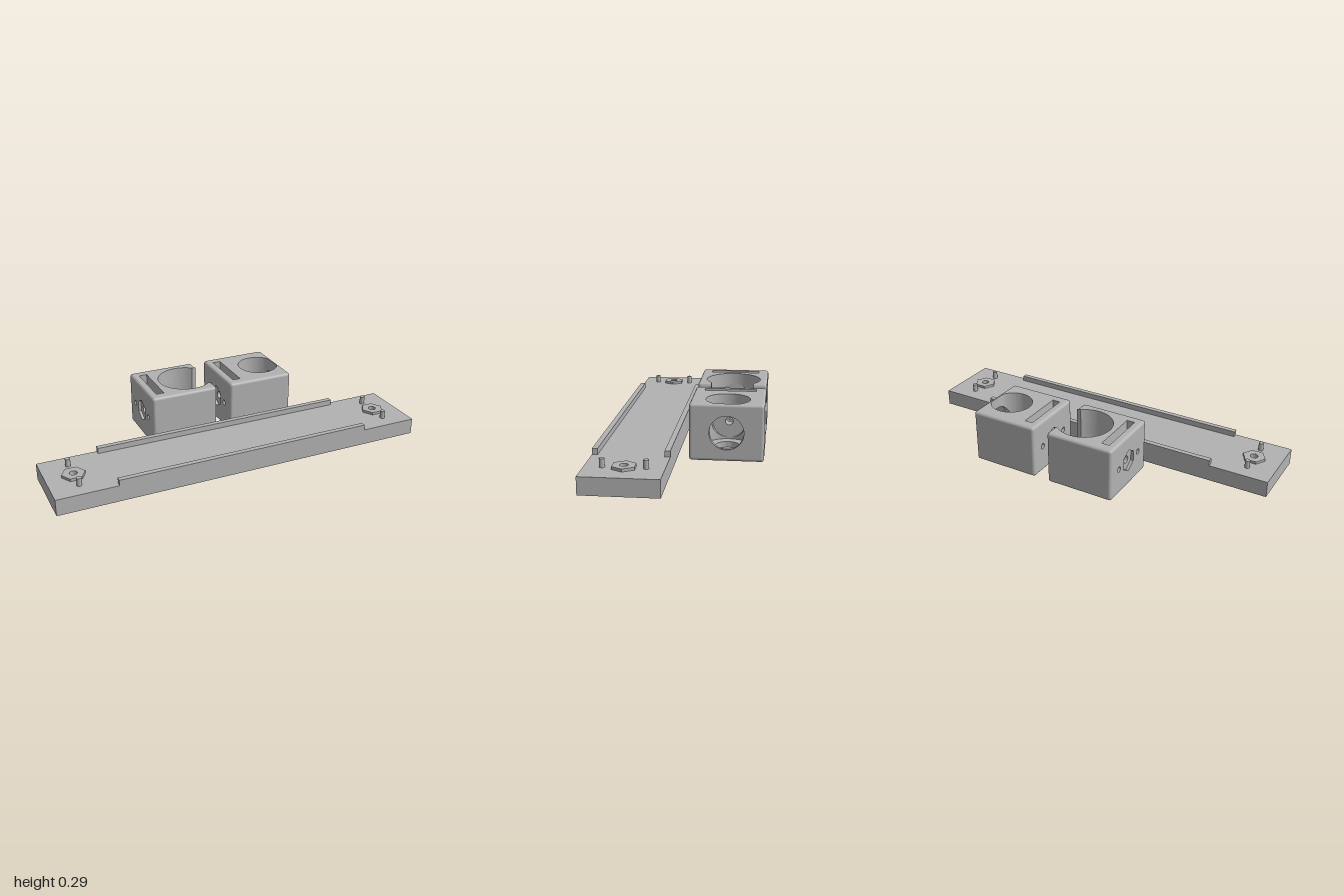
import * as THREE from 'three';
import { toCreasedNormals } from 'three/addons/utils/BufferGeometryUtils.js';
import { RoundedBoxGeometry } from 'three/addons/geometries/RoundedBoxGeometry.js';

const grey = new THREE.MeshStandardMaterial({ color: 0xb2b2b2, side: THREE.DoubleSide });
grey.name = 'plain grey';

// shared block sizes
const HALF = 0.184, H = 0.287, CY = H / 2, EDGE = 0.015, FLAT = HALF - EDGE;
const SHAFT = 0.085, SCREW = 0.02, JAW = 0.112, SLOT = [-0.145, -0.102], SLOT_Z = 0.132;

function add(group, name, geometry, x = 0, y = 0, z = 0) {
  const mesh = new THREE.Mesh(geometry, grey);
  mesh.name = name;
  mesh.position.set(x, y, z);
  group.add(mesh);
  return mesh;
}

// regular polygon or circle as [u, v] points
const ring = (r, n = 48, u = 0, v = 0, turn = 0) =>
  Array.from({ length: n }, (_, i) => {
    const t = (i / n) * Math.PI * 2 + turn;
    return [u + r * Math.sin(t), v + r * Math.cos(t)];
  });
const rect = (u0, u1, v0, v1) => [[u0, v0], [u1, v0], [u1, v1], [u0, v1]];

function makeShape(outline, holes = []) {
  const vec = (pts) => pts.map(([u, v]) => new THREE.Vector2(u, v));
  const shape = new THREE.Shape(vec(outline));
  holes.forEach((h) => shape.holes.push(new THREE.Path(vec(h))));
  return shape;
}

// flat face, placed in space by map(u, v)
function face(map, outline, holes) {
  const g = new THREE.ShapeGeometry(makeShape(outline, holes));
  const p = g.attributes.position;
  for (let i = 0; i < p.count; i++) p.setXYZ(i, ...map(p.getX(i), p.getY(i)));
  g.computeVertexNormals();
  return g;
}
const atX = (x) => (u, v) => [x, v, u];
const atY = (y) => (u, v) => [u, y, v];
const atZ = (z) => (u, v) => [u, v, z];

// surface between two rows of points
function loft(a, b, closed = true) {
  const pos = [];
  for (let i = 0; i < a.length - (closed ? 0 : 1); i++) {
    const j = (i + 1) % a.length;
    pos.push(...a[i], ...b[i], ...b[j], ...a[i], ...b[j], ...a[j]);
  }
  const g = new THREE.BufferGeometry();
  g.setAttribute('position', new THREE.Float32BufferAttribute(pos, 3));
  return toCreasedNormals(g, 0.6);
}
const tube = (pts, mapA, mapB) =>
  loft(pts.map((p) => mapA(...p)), pts.map((p) => mapB(...p)));

// rounded edges of the block, without its flat faces
function roundedEdges(open) {
  const g = new RoundedBoxGeometry(2 * HALF, H, 2 * HALF, 3, EDGE);
  const p = g.attributes.position, n = g.attributes.normal, pos = [], nor = [];
  for (let i = 0; i < p.count; i += 3) {
    const k = [i, i + 1, i + 2];
    const flat = k.every((j) => Math.max(Math.abs(n.getX(j)), Math.abs(n.getY(j)), Math.abs(n.getZ(j))) > 0.999);
    const same = flat && k.every((j) => n.getX(j) * n.getX(i) + n.getY(j) * n.getY(i) + n.getZ(j) * n.getZ(i) > 0.9);
    const jawEdge = open && k.every((j) => Math.abs(n.getZ(j)) < 0.01) && k.some((j) => n.getX(j) > 0.01);
    if (same || jawEdge) continue;
    k.forEach((j) => {
      pos.push(p.getX(j), p.getY(j) + CY, p.getZ(j));
      nor.push(n.getX(j), n.getY(j), n.getZ(j));
    });
  }
  const out = new THREE.BufferGeometry();
  out.setAttribute('position', new THREE.Float32BufferAttribute(pos, 3));
  out.setAttribute('normal', new THREE.Float32BufferAttribute(nor, 3));
  return out;
}

// clamp block: open = C-shaped through bore, otherwise a blind pocket
function makeBlock(name, open, c, R, floorY) {
  const block = new THREE.Group();
  block.name = name;
  const put = (part, g) => add(block, part, g);

  // bore outline as [x, z], with points that line up with the cross shaft
  const a = Math.asin(SHAFT / R), q = [];
  for (let i = 0; i <= 12; i++) q.push(Math.asin((SHAFT / R) * Math.sin((i / 12) * Math.PI / 2)));
  for (let i = 1; i <= 8; i++) q.push(a + (i / 8) * (Math.PI / 2 - a));
  const back = q.slice(0, -1).reverse();
  let angles = [...q, ...back.map((t) => Math.PI - t), ...q.slice(1).map((t) => Math.PI + t),
    ...back.slice(0, -1).map((t) => 2 * Math.PI - t)];
  if (open) {
    const j = Math.asin(JAW / R);
    angles = [j, ...angles.filter((t) => t > j + 0.01 && t < 2 * Math.PI - j - 0.01), 2 * Math.PI - j];
  }
  let bore = angles.map((t) => [Math.min(c + R * Math.cos(t), FLAT - 0.001), R * Math.sin(t)]);
  const arc = bore;
  if (open) bore = [[HALF, JAW], ...bore, [HALF, -JAW]];

  // bore wall above and below the cross shaft
  const gap = (z) => Math.sqrt(Math.max(0, SHAFT * SHAFT - z * z));
  const row = (f) => bore.map(([x, z]) => [x, f(z), z]);
  put('boreWallLower', loft(row(() => floorY), row((z) => CY - gap(z)), !open));
  put('boreWallUpper', loft(row((z) => CY + gap(z)), row(() => H), !open));

  // top and bottom faces
  const slot = rect(...SLOT, -SLOT_Z, SLOT_Z);
  const square = rect(-FLAT, FLAT, -FLAT, FLAT);
  if (open) {
    const cOutline = [[-FLAT, -FLAT], [FLAT, -FLAT], [FLAT, -JAW], ...arc.slice().reverse(),
      [FLAT, JAW], [FLAT, FLAT], [-FLAT, FLAT]];
    put('topFace', face(atY(H), cOutline, [slot]));
    put('bottomFace', face(atY(0), cOutline, [slot]));
  } else {
    put('topFace', face(atY(H), square, [slot, bore]));
    put('bottomFace', face(atY(0), square, [slot]));
    // pocket floor with a smaller round recess
    const recess = ring(0.06, 48, c, 0);
    put('pocketFloor', face(atY(floorY), bore, [recess]));
    put('recessWall', tube(recess, atY(floorY), atY(0.02)));
    put('recessFloor', face(atY(0.02), recess));
  }

  // front and back faces
  const side = rect(-FLAT, FLAT, EDGE, H - EDGE);
  for (const s of [1, -1]) put(s > 0 ? 'frontFace' : 'backFace', face(atZ(s * HALF), side));

  // mounting face with hexagonal socket, screw hole and peg holes
  const screw = ring(SCREW, 24, 0, CY), hex = ring(0.06, 6, 0, CY);
  const pegs = [-0.1, 0.1].map((z) => ring(0.015, 20, z, CY));
  put('mountingFace', face(atX(-HALF), side, [hex, ...pegs]));
  put('socketWall', tube(hex, atX(-HALF), atX(-FLAT)));
  put('socketFloor', face(atX(-FLAT), hex, [screw]));
  pegs.forEach((p) => {
    put('pegHoleWall', tube(p, atX(-HALF), atX(-0.15)));
    put('pegHoleEnd', face(atX(-0.15), p));
  });

  // strap slot and screw hole
  const slotSide = rect(-SLOT_Z, SLOT_Z, 0, H);
  SLOT.forEach((x) => put('slotWall', face(atX(x), slotSide, [screw])));
  [-1, 1].forEach((s) => put('slotEnd', face(atZ(s * SLOT_Z), rect(...SLOT, 0, H))));
  put('screwHoleOuter', tube(screw, atX(-FLAT), atX(SLOT[0])));
  put('screwHoleInner', tube(screw, atX(SLOT[1]), atX(c - R)));

  // cross shaft and its screw seat
  const shaft = ring(SHAFT, 48, 0, CY);
  const reach = (z) => Math.sqrt(R * R - z * z);
  put('screwSeat', face(atX(c - R), shaft, [screw]));
  put('seatWall', tube(shaft, atX(c - R), (u, v) => [c - reach(u), v, u]));
  if (open) {
    // jaw tips
    for (const s of [1, -1]) {
      put('jawFace', face(atX(HALF), rect(s * JAW, s * FLAT, EDGE, H - EDGE)));
      for (const top of [true, false]) {
        const edge = (z) => Array.from({ length: 7 }, (_, i) => {
          const t = (i / 6) * Math.PI / 2, y = EDGE * (1 - Math.sin(t));
          return [FLAT + EDGE * Math.cos(t), top ? H - y : y, z];
        });
        put('jawEdge', loft(edge(s * JAW), edge(s * FLAT), false));
      }
    }
  } else {
    put('shaftFace', face(atX(HALF), side, [shaft]));
    put('shaftWall', tube(shaft, (u, v) => [Math.min(c + reach(u), FLAT - 0.001), v, u], atX(HALF)));
  }
  put('roundedEdges', roundedEdges(open));
  return block;
}

// flat slab with holes, extruded upwards
function slab(outline, holes, depth) {
  const g = new THREE.ExtrudeGeometry(makeShape(outline, holes), { depth, bevelEnabled: false });
  return g.rotateX(-Math.PI / 2);
}

export function createModel() {
  const model = new THREE.Group();

  // base plate: nut pockets below, screw holes above
  const base = new THREE.Group();
  base.name = 'basePlate';
  base.position.z = 0.214;
  model.add(base);
  const ends = [-0.86, 0.86], plate = rect(-1, 1, -0.185, 0.185), turn = Math.PI / 2;
  add(base, 'plateLower', slab(plate, ends.map((x) => ring(0.055, 6, x, 0, turn)), 0.055));
  add(base, 'plateUpper', slab(plate, ends.map((x) => ring(SCREW, 24, x, 0)), 0.031), 0, 0.055);
  for (const x of ends) {
    add(base, 'hexBoss', slab(ring(0.06, 6, 0, 0, turn), [ring(SCREW, 24)], 0.014), x, 0.086);
    for (const z of [-0.1, 0.1])
      add(base, 'peg', new THREE.CylinderGeometry(0.013, 0.013, 0.043, 20), x, 0.1065, z);
  }
  for (const s of [-1, 1])
    add(base, 'rail', new THREE.BoxGeometry(1.375, 0.03, 0.027), 0, 0.1005, s * 0.1715);

  // the two clamp blocks
  const openBlock = makeBlock('openClamp', true, 0.07, 0.145, 0);
  openBlock.position.set(-0.167, 0, -0.215);
  const pocketBlock = makeBlock('pocketClamp', false, 0.0725, 0.11, 0.05);
  pocketBlock.position.set(0.2815, 0, -0.215);
  model.add(openBlock, pocketBlock);
  return model;
}
